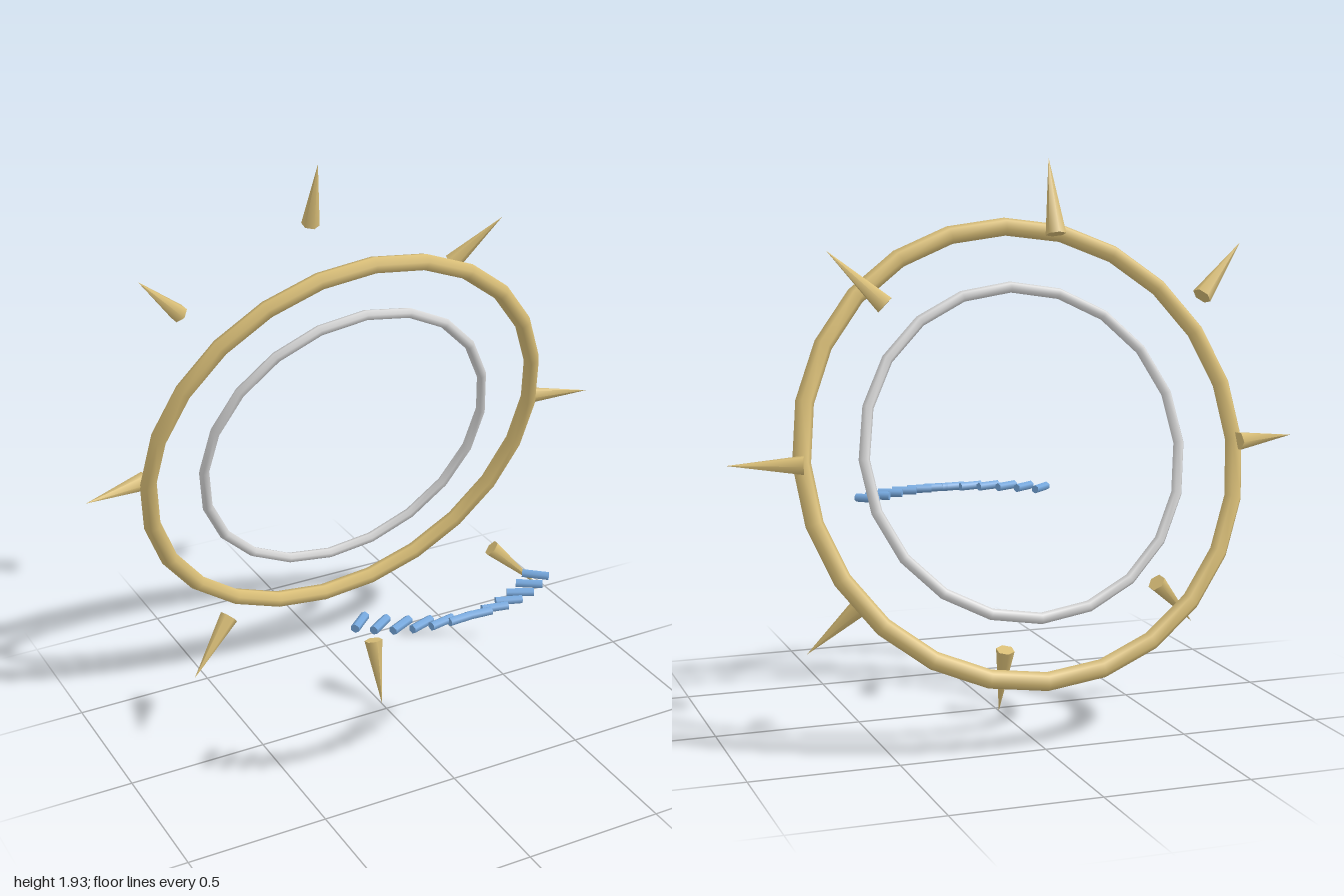
import * as THREE from 'three';

const TILT = 0.28;
const CENTER = new THREE.Vector3(0, 0.967, -0.303);

function material(name, color) {
  const m = new THREE.MeshStandardMaterial({ color });
  m.name = name;
  return m;
}

export function createModel() {
  const gold = material('gold', 0xdabf78);
  const silver = material('silver', 0xd8d8d8);
  const blue = material('blue', 0x77aae0);

  const model = new THREE.Group();
  model.name = 'spikedHalo';

  const add = (name, geometry, mat, parent) => {
    const mesh = new THREE.Mesh(geometry, mat);
    mesh.name = name;
    parent.add(mesh);
    return mesh;
  };

  // Two concentric rings, top leaning forward
  const rings = new THREE.Group();
  rings.name = 'rings';
  rings.position.copy(CENTER);
  rings.rotation.x = TILT;
  model.add(rings);
  add('outerRing', new THREE.TorusGeometry(0.762, 0.031, 6, 24), gold, rings);
  add('innerRing', new THREE.TorusGeometry(0.555, 0.019, 6, 20), silver, rings);

  // Eight floating spikes on a circle leaning the other way, each tipped forward
  const spikes = new THREE.Group();
  spikes.name = 'spikes';
  spikes.position.copy(CENTER);
  model.add(spikes);
  const spikeGeometry = new THREE.ConeGeometry(0.033, 0.247, 6);
  for (let i = 0; i < 8; i++) {
    const a = (i / 8) * Math.PI * 2;
    const spike = add('spike', spikeGeometry, gold, spikes);
    spike.position.set(0.881 * Math.cos(a), 0.848 * Math.sin(a), -0.234 * Math.sin(a));
    spike.rotation.set(TILT, 0, a - Math.PI / 2, 'ZYX');
  }

  // Curved row of small six-sided bars in front, fanned against the arc
  const bars = new THREE.Group();
  bars.name = 'barArc';
  bars.position.set(0, 0.697, 0.095);
  model.add(bars);
  const barGeometry = new THREE.CylinderGeometry(0.0155, 0.0155, 0.09, 6)
    .rotateY(Math.PI / 2)
    .rotateZ(Math.PI / 2);
  const count = 12;
  for (let i = 0; i < count; i++) {
    const a = (i / (count - 1) - 0.5) * 1.525;
    const bar = add('bar', barGeometry, blue, bars);
    bar.position.set(0.488 * Math.sin(a), 0, 0.488 * Math.cos(a));
    bar.rotation.y = -a * 0.95;
  }

  return model;
}
